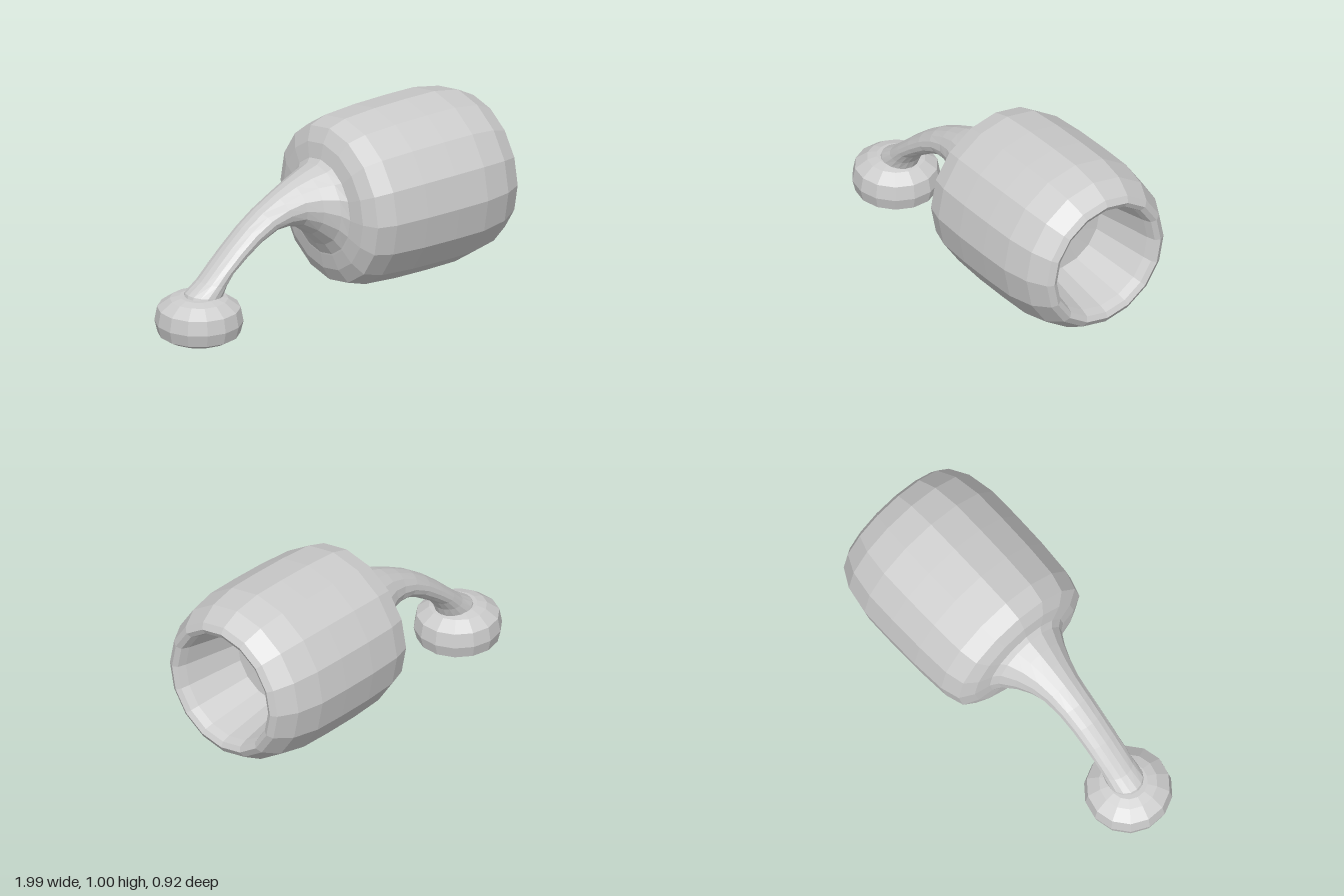
import * as THREE from 'three';

const material = new THREE.MeshStandardMaterial({ color: 0xcccccc, flatShading: true, side: THREE.DoubleSide });

function lathe(name, profile, sides) {
  const points = profile.map(([r, h]) => new THREE.Vector2(r, h));
  const mesh = new THREE.Mesh(new THREE.LatheGeometry(points, sides), material);
  mesh.name = name;
  return mesh;
}

// Skins elliptical sections, each given by its upper point, lower point and half width in z.
function loft(name, sections, sides) {
  const positions = [], index = [];
  sections.forEach(([topX, topY, lowX, lowY, halfWidth], i) => {
    for (let j = 0; j < sides; j++) {
      const a = (j / sides) * Math.PI * 2;
      const c = Math.cos(a);
      positions.push(
        (topX + lowX) / 2 + (c * (topX - lowX)) / 2,
        (topY + lowY) / 2 + (c * (topY - lowY)) / 2,
        halfWidth * Math.sin(a)
      );
      if (i === 0) continue;
      const k = (j + 1) % sides;
      const p = (i - 1) * sides, q = i * sides;
      index.push(p + j, q + j, p + k, p + k, q + j, q + k);
    }
  });
  const geometry = new THREE.BufferGeometry();
  geometry.setAttribute('position', new THREE.Float32BufferAttribute(positions, 3));
  geometry.setIndex(index);
  geometry.computeVertexNormals();
  const mesh = new THREE.Mesh(geometry, material);
  mesh.name = name;
  return mesh;
}

export function createModel() {
  const model = new THREE.Group();
  model.name = 'hornWithFoot';

  // Barrel with a recessed open end, lying along x
  const barrel = lathe('barrel', [
    [0.22, 0], [0.26, 0.005], [0.34, 0.02], [0.415, 0.06], [0.445, 0.16], [0.457, 0.35],
    [0.46, 0.55], [0.458, 0.73], [0.43, 0.88], [0.375, 0.98], [0.342, 1],
    [0.315, 0.985], [0.3, 0.94], [0.238, 0.62], [0, 0.6],
  ], 16);
  barrel.rotation.z = -Math.PI / 2;
  barrel.position.y = 0.537;
  model.add(barrel);

  // Curved neck, flaring into the barrel
  model.add(loft('neck', [
    [0.01, 0.8, 0.01, 0.275, 0.26],
    [-0.02, 0.772, -0.03, 0.345, 0.215],
    [-0.1, 0.748, -0.1, 0.42, 0.17],
    [-0.19, 0.715, -0.17, 0.475, 0.135],
    [-0.29, 0.67, -0.23, 0.493, 0.112],
    [-0.4, 0.61, -0.31, 0.493, 0.1],
    [-0.5, 0.54, -0.41, 0.45, 0.094],
    [-0.6, 0.455, -0.5, 0.39, 0.091],
    [-0.69, 0.37, -0.58, 0.33, 0.09],
    [-0.76, 0.305, -0.62, 0.275, 0.09],
    [-0.84, 0.25, -0.64, 0.225, 0.095],
    [-0.86, 0.2, -0.65, 0.17, 0.1],
  ], 16));

  // Rounded foot
  const foot = lathe('foot', [
    [0, 0], [0.1, 0.002], [0.17, 0.012], [0.212, 0.036], [0.228, 0.1],
    [0.214, 0.175], [0.15, 0.222], [0.1, 0.235], [0, 0.235],
  ], 14);
  foot.position.x = -0.772;
  model.add(foot);

  return model;
}
